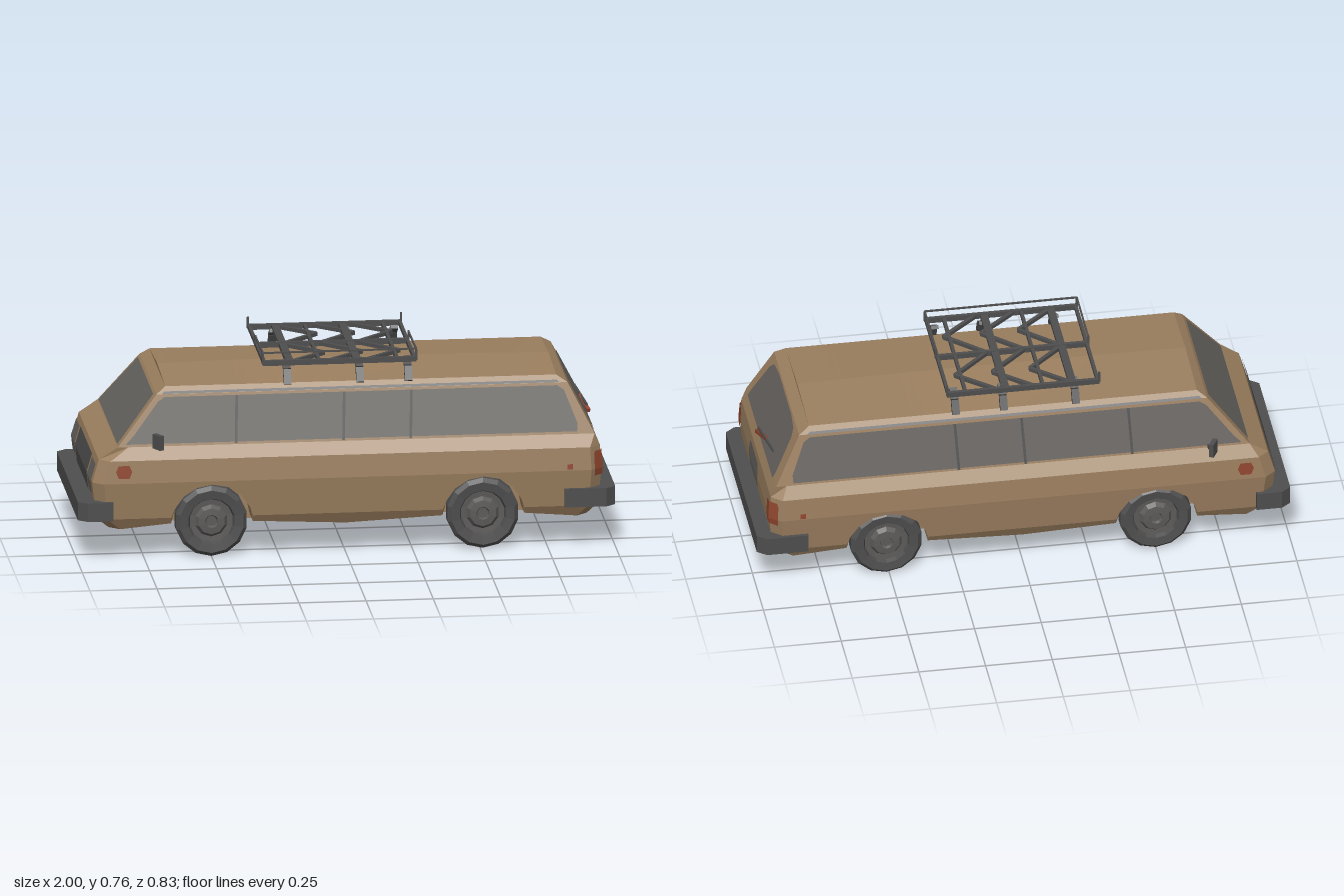
import * as THREE from 'three';

const mat = (name, color, side = THREE.FrontSide) => {
  const m = new THREE.MeshStandardMaterial({ color, flatShading: true, side });
  m.name = name;
  return m;
};

// Body outline by height: y, half width, front x, rear x
const LEVELS = [
  [0.115, 0.33, -0.88, 0.90],
  [0.16, 0.355, -0.93, 0.94],
  [0.30, 0.373, -0.945, 0.95],
  [0.385, 0.365, -0.92, 0.945],
  [0.43, 0.335, -0.85, 0.925],
  [0.615, 0.282, -0.70, 0.83],
  [0.64, 0.262, -0.665, 0.79],
];
const at = (y, k) => {
  let i = 0;
  while (i < LEVELS.length - 2 && y > LEVELS[i + 1][0]) i++;
  const a = LEVELS[i], b = LEVELS[i + 1];
  return THREE.MathUtils.lerp(a[k], b[k], THREE.MathUtils.clamp((y - a[0]) / (b[0] - a[0]), 0, 1));
};
const AXLES = [-0.5, 0.51], ARCH = 0.152, HUB_Y = 0.135, CHAMFER = 0.04;
const inset = (y) => (y < 0.4 ? 0.035 : 0);

const fromQuads = (quads) => {
  const pos = [];
  for (const [a, b, c, d] of quads) pos.push(...a, ...b, ...c, ...a, ...c, ...d);
  const g = new THREE.BufferGeometry();
  g.setAttribute('position', new THREE.Float32BufferAttribute(pos, 3));
  g.computeVertexNormals();
  return g;
};
const gridQuads = (rows) => {
  const q = [];
  for (let j = 0; j + 1 < rows.length; j++)
    for (let i = 0; i + 1 < rows[j].length; i++)
      q.push([rows[j][i], rows[j][i + 1], rows[j + 1][i + 1], rows[j + 1][i]]);
  return q;
};

// Closed shell: one loop of points per column along x, with raised wheel arches
function bodyGeometry() {
  const inner = [];
  for (const c of AXLES)
    for (let t = 180; t >= 0; t -= 22.5) {
      const a = THREE.MathUtils.degToRad(t);
      inner.push([c + ARCH * Math.cos(a), HUB_Y + ARCH * Math.sin(a)]);
    }
  inner.splice(9, 0, [0, 0]);
  const cols = [['F', 0], ['F', CHAMFER], ...inner, ['R', CHAMFER], ['R', 0]];
  const loops = cols.map(([X, v]) => {
    const half = LEVELS.map(([y0, , xF, xR]) => {
      const isEnd = X === 'F' || X === 'R';
      const y = isEnd ? y0 : Math.max(y0, v);
      const x = X === 'F' ? xF + v : X === 'R' ? xR - v
        : THREE.MathUtils.clamp(X, xF + CHAMFER, xR - CHAMFER);
      return [x, y, at(y, 1) - (isEnd && v === 0 ? inset(y) : 0)];
    });
    const top = half[half.length - 1];
    const ridge = [top[0], 0.662 - 0.014 * top[0] ** 2, 0];
    return [...half, ridge, ...half.map(([x, y, z]) => [x, y, -z]).reverse(), half[0]];
  });
  const quads = [];
  for (let i = 0; i + 1 < loops.length; i++)
    for (let k = 0; k + 1 < loops[i].length; k++)
      quads.push([loops[i][k], loops[i + 1][k], loops[i + 1][k + 1], loops[i][k + 1]]);
  const n = LEVELS.length;
  for (const [loop, rear] of [[loops[0], false], [loops[loops.length - 1], true]])
    for (let k = 0; k < n; k++) {
      const q = [loop[k], loop[k + 1], loop[2 * n - 1 - k], loop[2 * n - k]];
      quads.push(rear ? q.reverse() : q);
    }
  return fromQuads(quads);
}

export function createModel() {
  const car = new THREE.Group();
  car.name = 'stationWagon';
  const paint = mat('tan paint', 0x9b7f5f);
  const glass = mat('grey glass', 0x666360, THREE.DoubleSide);
  const trim = mat('dark trim', 0x4f4e4e, THREE.DoubleSide);
  const rim = mat('wheel rim grey', 0x5c5a59);
  const red = mat('lamp red', 0x8f452e, THREE.DoubleSide);

  const add = (name, geo, m, p = [0, 0, 0]) => {
    const mesh = new THREE.Mesh(geo, m);
    mesh.name = name;
    mesh.position.set(...p);
    car.add(mesh);
    return mesh;
  };
  const box = (name, size, p, m) => add(name, new THREE.BoxGeometry(...size), m, p);
  const strut = (name, a, b, m, w = 0.016, h = w) => {
    const A = new THREE.Vector3(...a), B = new THREE.Vector3(...b);
    const mesh = box(name, [w, h, A.distanceTo(B)], A.clone().lerp(B, 0.5).toArray(), m);
    mesh.lookAt(B);
    return mesh;
  };
  // Thin skins following the body: rows of [y, x...] on a side, [y, z...] on an end
  const sideSkin = (name, rows, m, off = 0.004) => {
    for (const s of [1, -1])
      add(name, fromQuads(gridQuads(rows.map(([y, ...xs]) =>
        xs.map((x) => [x, y, s * (at(y, 1) + off)])))), m);
  };
  const endSkin = (name, rows, rear, m, off = 0.005) => {
    const s = rear ? 1 : -1;
    add(name, fromQuads(gridQuads(rows.map(([y, ...zs]) => zs.map((z) => {
      const over = Math.max(0, Math.abs(z) - (at(y, 1) - 0.035)) / 0.035;
      const cut = y < 0.4 ? CHAMFER * over : 0;
      return [at(y, rear ? 3 : 2) + s * (off - cut), y, z];
    })))), m);
  };

  add('body', bodyGeometry(), paint);
  for (const x of AXLES) box('innerWheelHousing', [0.32, 0.18, 0.46], [x, 0.205, 0], paint);

  // Windows
  sideSkin('sideWindows', [[0.44, -0.82, 0.86], [0.47, -0.79, 0.862], [0.59, -0.695, 0.815], [0.606, -0.67, 0.79]], glass);
  endSkin('windshield', [[0.437, -0.31, 0.31], [0.46, -0.305, 0.305], [0.61, -0.255, 0.255]], false, glass);
  endSkin('rearWindow', [[0.432, -0.275, 0.285], [0.46, -0.275, 0.28], [0.58, -0.24, 0.24], [0.605, -0.215, 0.215]], true, glass);
  endSkin('rearWindowTop', [[0.605, -0.215, 0.215], [0.614, -0.14, 0.14]], true, glass);
  for (const x of [-0.41, -0.01, 0.24])
    sideSkin('windowDivider', [[0.435, x - 0.005, x + 0.005], [0.607, x + 0.003, x + 0.013]], trim, 0.007);
  sideSkin('rainGutter', [[0.617, -0.68, 0.8], [0.625, -0.67, 0.79]], trim, 0.006);

  // Front and rear fittings
  endSkin('grille', [[0.235, -0.19, 0.19], [0.30, -0.19, 0.19], [0.37, -0.19, 0.19]], false, trim);
  for (const s of [1, -1]) {
    endSkin('headlight', [[0.25, s * 0.21, s * 0.32], [0.30, s * 0.21, s * 0.325], [0.365, s * 0.21, s * 0.32]], false, glass);
    endSkin('tailLight', [[0.275, s * 0.305, s * 0.335, s * 0.362], [0.30, s * 0.295, s * 0.338, s * 0.366],
      [0.355, s * 0.295, s * 0.333, s * 0.36], [0.368, s * 0.31, s * 0.331, s * 0.355]], true, red);
  }
  endSkin('licensePlate', [[0.262, -0.085, 0.085], [0.30, -0.085, 0.1], [0.345, -0.085, 0.1], [0.367, -0.07, 0.085]], true, glass);
  sideSkin('frontMarker', [[0.32, -0.85, -0.81], [0.345, -0.86, -0.8], [0.368, -0.85, -0.81]], red);
  sideSkin('rearMarker', [[0.305, 0.82, 0.84], [0.325, 0.82, 0.84]], red);
  strut('wiperArm', [0.935, 0.435, 0.04], [0.91, 0.465, -0.07], red, 0.014);
  strut('wiperBlade', [0.93, 0.455, 0.03], [0.905, 0.477, -0.17], trim, 0.008);

  // Wrap-around bumpers, drawn in plan and extruded upward
  for (const s of [1, -1]) {
    const back = s > 0 ? 0.81 : 0.87;
    const half = [[back, 0.35], [back, 0.378], [0.965, 0.378], [1, 0.35]];
    const pts = [...half, ...half.map(([x, z]) => [x, -z]).reverse(), [0.93, -0.33], [0.93, 0.33]];
    const shape = new THREE.Shape(pts.map(([x, z]) => new THREE.Vector2(s * x, z)));
    const geo = new THREE.ExtrudeGeometry(shape, { depth: 0.07, bevelEnabled: false });
    geo.rotateX(-Math.PI / 2);
    add(s > 0 ? 'rearBumper' : 'frontBumper', geo, trim, [0, 0.16, 0]);
    for (const z of [-0.2, 0.2])
      box('bumperBracket', [0.06, 0.05, 0.04], [s * 0.9, 0.14, z], trim);
  }

  // Wheels and running gear
  const tyreProfile = [[0.085, -0.03], [0.12, -0.04], [0.135, -0.025], [0.135, 0.025], [0.12, 0.04], [0.088, 0.036], [0.08, 0.015]]
    .map(([r, h]) => new THREE.Vector2(r, h));
  const rimProfile = [[0.09, -0.03], [0.09, 0.02], [0.062, 0.018], [0.05, 0.034], [0.025, 0.036], [0.02, 0.026], [0, 0.026]]
    .map(([r, h]) => new THREE.Vector2(r, h));
  for (const x of AXLES) {
    for (const s of [1, -1]) {
      const wheel = new THREE.Group();
      wheel.name = 'wheel';
      const parts = [['tyre', new THREE.LatheGeometry(tyreProfile, 14), trim], ['rim', new THREE.LatheGeometry(rimProfile, 10), rim],
        ['wheelBack', new THREE.CylinderGeometry(0.09, 0.09, 0.02, 10).translate(0, -0.025, 0), trim]];
      for (const [name, geo, m] of parts) {
        const mesh = new THREE.Mesh(geo, m);
        mesh.name = name;
        wheel.add(mesh);
      }
      wheel.rotation.x = s * Math.PI / 2;
      wheel.position.set(x, HUB_Y, s * 0.298);
      car.add(wheel);
      strut('suspensionArm', [x - 0.1, 0.11, s * 0.2], [x, 0.12, s * 0.2], trim, 0.04);
    }
    const axle = add('axle', new THREE.CylinderGeometry(0.025, 0.025, 0.54, 6), trim, [x, 0.125, 0]);
    axle.rotation.x = Math.PI / 2;
    const casing = [[0, -0.15], [0.062, -0.055], [0.062, 0.055], [0, 0.15]].map(([r, h]) => new THREE.Vector2(r, h));
    add('differential', new THREE.LatheGeometry(casing, 8), trim, [x, 0.135, 0]).rotation.x = Math.PI / 2;
  }

  // Door mirrors
  for (const s of [1, -1]) {
    strut('mirrorArm', [-0.7, 0.435, s * 0.33], [-0.705, 0.445, s * 0.38], trim, 0.016);
    box('mirror', [0.018, 0.055, 0.046], [-0.705, 0.462, s * 0.39], trim).rotation.y = s * 0.5;
  }

  // Roof rack
  const X0 = -0.3, X1 = 0.27, Y = 0.714;
  for (const z of [-0.25, 0, 0.25]) strut('rackRail', [X0, Y, z], [X1, Y, z], trim, 0.014, 0.02);
  for (const x of [X0 + 0.005, -0.2, -0.09, 0.05, 0.2, X1 - 0.005])
    strut('rackBar', [x, Y, -0.255], [x, Y, 0.255], trim, x === -0.2 || x === 0.05 ? 0.028 : 0.012, 0.016);
  for (const s of [1, -1]) {
    for (const [a, b] of [[-0.2, -0.06], [-0.06, 0.08], [0.08, 0.22]]) {
      strut('rackBrace', [a, Y, 0], [b, Y, s * 0.13], trim, 0.014);
      strut('rackBrace', [b, Y, s * 0.13], [a, Y, s * 0.25], trim, 0.014);
    }
    for (const x of [-0.21, 0.06, 0.24]) {
      strut('rackLeg', [x, 0.635, s * 0.27], [x, 0.685, s * 0.245], trim, 0.028, 0.02);
      strut('rackLeg', [x, 0.685, s * 0.245], [x, 0.71, s * 0.205], trim, 0.028, 0.014);
    }
  }
  strut('rackTopRail', [X0, 0.753, 0.252], [X1, 0.753, 0.252], trim, 0.006);
  strut('rackTopRail', [X0, 0.753, 0.252], [X0, 0.748, 0], trim, 0.006);
  strut('rackTopRail', [X1, 0.753, 0.252], [X1, 0.748, 0], trim, 0.006);
  for (const x of [X0, X1])
    for (const z of [-0.25, 0, 0.25])
      strut('rackPost', [x, 0.71, z], [x, 0.752, z], trim, 0.008);
  return car;
}
